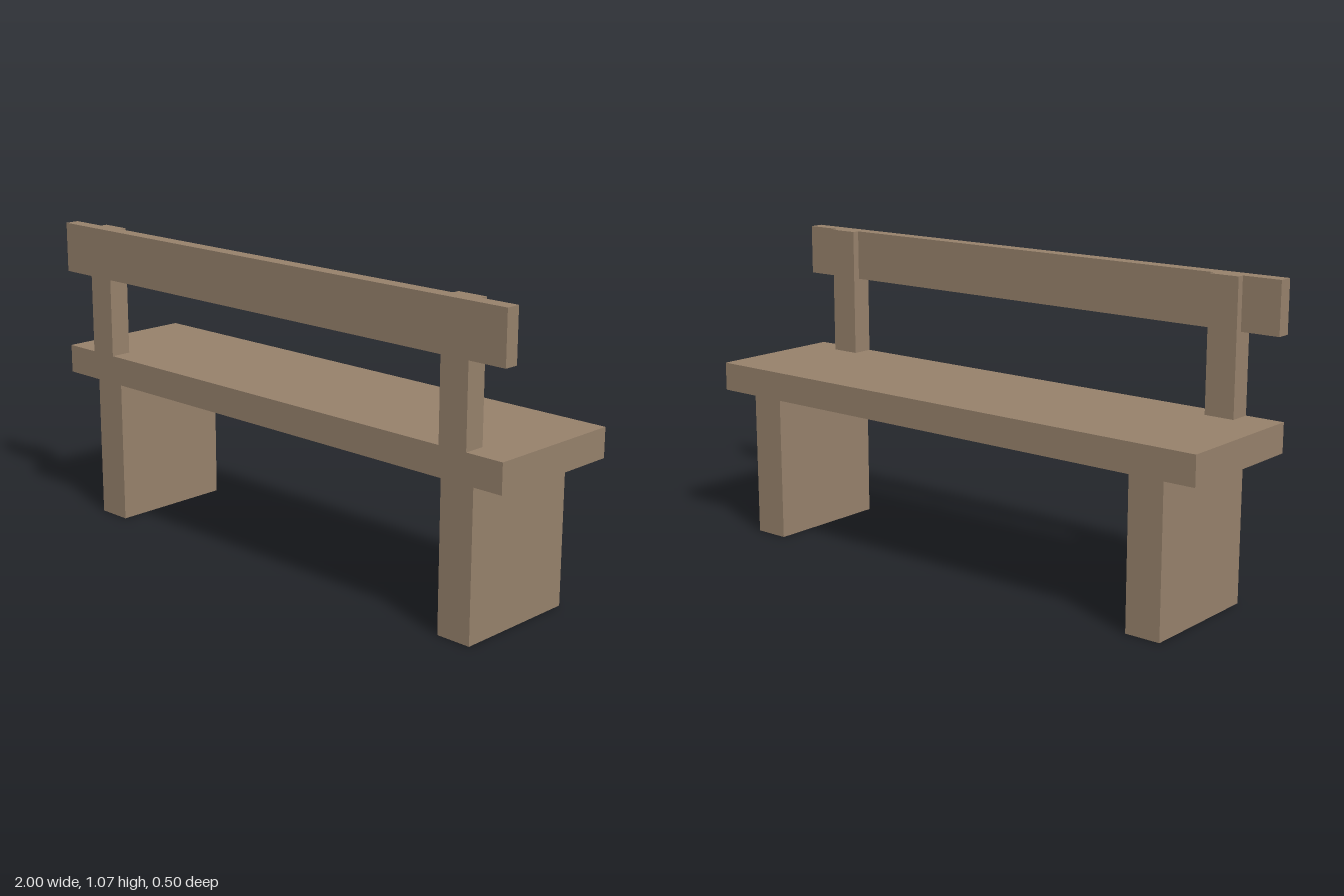
import * as THREE from 'three';

export function createModel() {
  const bench = new THREE.Group();
  bench.name = 'bench';
  const wood = new THREE.MeshStandardMaterial({ color: 0x96816b });
  wood.name = 'wood';

  const add = (name, geometry, x, y, z) => {
    const mesh = new THREE.Mesh(geometry, wood);
    mesh.name = name;
    mesh.position.set(x, y, z);
    bench.add(mesh);
  };

  // Seat slab and backrest board
  add('seat', new THREE.BoxGeometry(2, 0.1, 0.5), 0, 0.565, 0);
  add('backrest', new THREE.BoxGeometry(2, 0.175, 0.05), 0, 0.9775, 0.225);

  // Post side profile, notched so the board sits flush (drawn as -z, y)
  const profile = new THREE.Shape([
    [-0.25, 0.615], [-0.175, 0.615], [-0.175, 1.065],
    [-0.2, 1.065], [-0.2, 0.89], [-0.25, 0.89],
  ].map(([a, b]) => new THREE.Vector2(a, b)));
  const postWidth = 0.105;
  const post = new THREE.ExtrudeGeometry(profile, { depth: postWidth, bevelEnabled: false });
  post.translate(0, 0, -postWidth / 2).rotateY(Math.PI / 2);

  // Slab legs and backrest posts, one of each per side
  const leg = new THREE.BoxGeometry(0.125, 0.515, 0.45);
  for (const [side, s] of [['left', 1], ['right', -1]]) {
    add(side + 'Leg', leg, s * 0.8125, 0.2575, 0);
    add(side + 'BackrestPost', post, s * 0.8125, 0, 0);
  }
  return bench;
}
